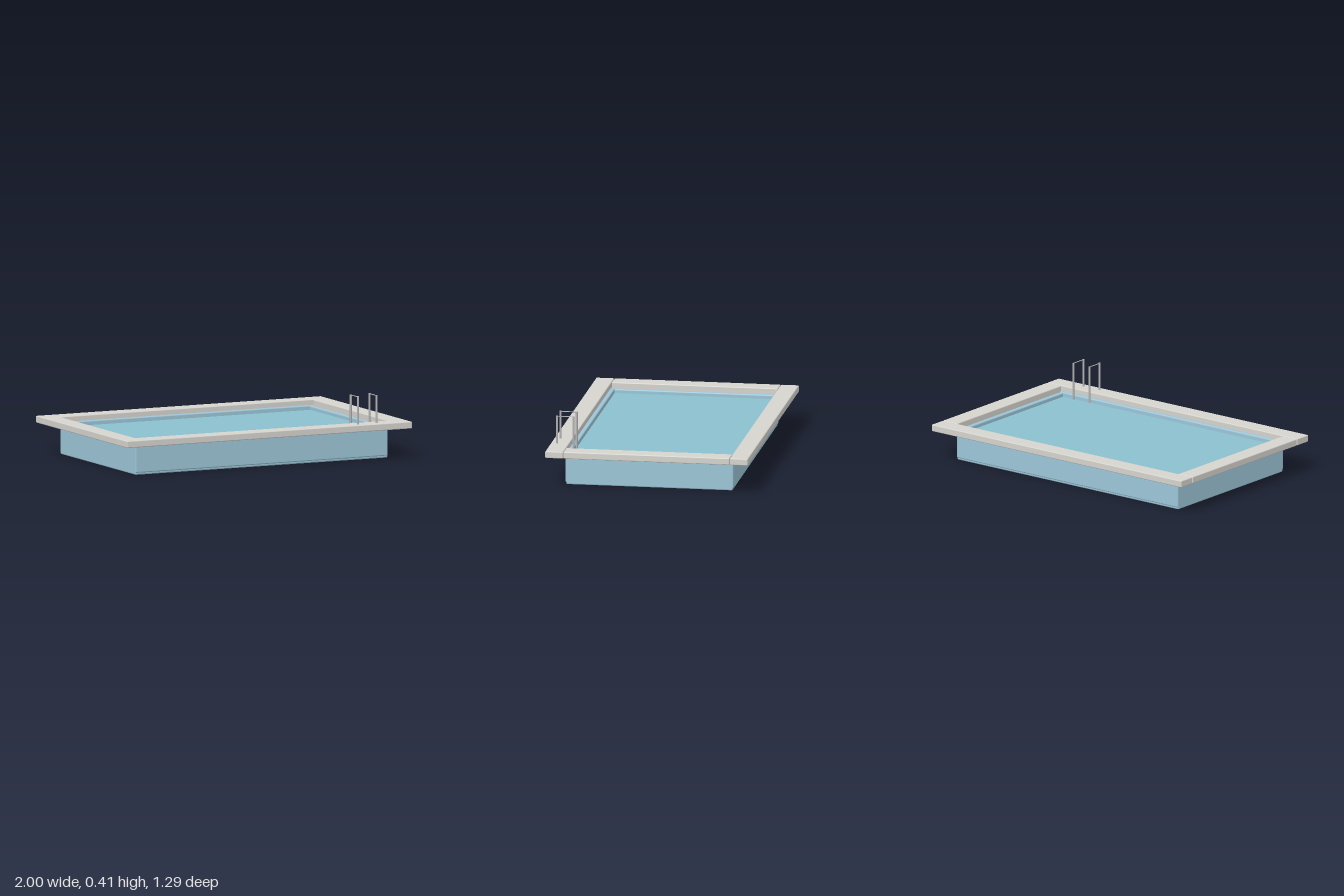
import * as THREE from 'three';
import { RoundedBoxGeometry } from 'three/addons/geometries/RoundedBoxGeometry.js';

const material = (color) => new THREE.MeshStandardMaterial({ color });

export function createModel() {
  const pool = new THREE.Group();
  pool.name = 'swimmingPool';
  const stone = material(0xd6d4ce);
  const tile = material(0x9cc6d8);
  const waterBlue = material(0x8cc0ce);
  const metal = material(0xb4b4b4);

  const add = (name, geometry, mat, x, y, z, parent = pool) => {
    const mesh = new THREE.Mesh(geometry, mat);
    mesh.name = name;
    mesh.position.set(x, y, z);
    parent.add(mesh);
    return mesh;
  };
  const rounded = (w, h, d, r) => new RoundedBoxGeometry(w, h, d, 2, r);

  // Basin: floor slab and four walls
  add('floor', rounded(1.77, 0.03, 1.06, 0.008), tile, 0, 0.015, 0);
  for (const s of [-1, 1]) {
    add('sideWall', rounded(0.03, 0.2, 1.06, 0.008), tile, s * 0.87, 0.1, 0);
    add('longWall', rounded(1.77, 0.19, 0.03, 0.008), tile, 0, 0.108, s * 0.52);
  }

  // Water sheet just below the coping
  add('water', new THREE.BoxGeometry(1.73, 0.145, 1.03), waterBlue, 0, 0.1025, 0);

  // Coping: long slabs overlap the ends of the short ones
  for (const s of [-1, 1]) {
    add('longCoping', rounded(2, 0.044, 0.114, 0.006), stone, 0, 0.214, s * 0.588);
    add('sideCoping', rounded(0.114, 0.044, 1.057, 0.006), stone, s * 0.943, 0.214, 0);
  }

  // Ladder: two hoops, each with a deck post, a water post and a thin top bar
  const ladder = new THREE.Group();
  ladder.name = 'ladder';
  pool.add(ladder);
  const post = (x, z, bottom, top) =>
    add('post', new THREE.CylinderGeometry(0.0065, 0.0065, top - bottom, 12),
      metal, x, (top + bottom) / 2, z, ladder);
  for (const x of [0.64, 0.77]) {
    post(x, 0.605, 0.22, 0.414);
    post(x, 0.502, 0.12, 0.412);
    const bar = add('handrail', new THREE.CylinderGeometry(0.003, 0.003, 0.103, 10),
      metal, x, 0.41, 0.5535, ladder);
    bar.rotation.x = Math.PI / 2;
  }
  return pool;
}
